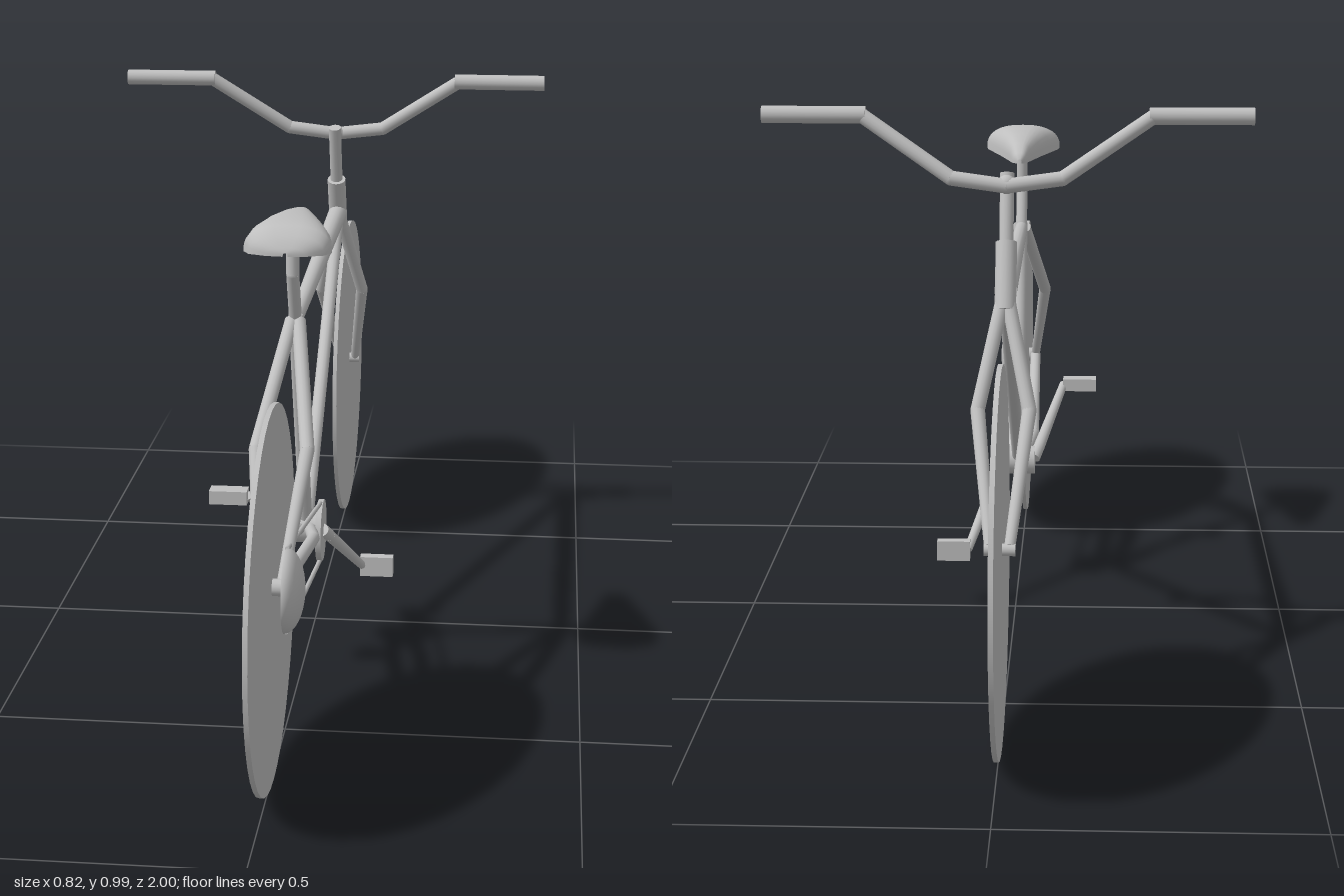
import * as THREE from 'three';

export function createModel() {
  const bike = new THREE.Group();
  bike.name = 'bicycle';
  const grey = new THREE.MeshStandardMaterial({ color: 0xbfbfbf, side: THREE.DoubleSide });
  grey.name = 'plain grey';
  const V = (p) => new THREE.Vector3(...p);
  const UP = new THREE.Vector3(0, 1, 0);

  function add(name, geometry, position = [0, 0, 0], parent = bike) {
    const mesh = new THREE.Mesh(geometry, grey);
    mesh.name = name;
    mesh.position.set(...position);
    parent.add(mesh);
    return mesh;
  }

  // Bent tube: tapered cylinders between points, balls at the inner joints
  function tube(name, points, radii, sides = 14) {
    const group = new THREE.Group();
    group.name = name;
    const r = (i) => (Array.isArray(radii) ? radii[i] : radii);
    for (let i = 0; i < points.length - 1; i++) {
      const a = V(points[i]), b = V(points[i + 1]);
      const dir = b.clone().sub(a);
      const mid = a.clone().add(b).multiplyScalar(0.5);
      const part = add(name + 'Section', new THREE.CylinderGeometry(r(i + 1), r(i), dir.length(), sides), mid.toArray(), group);
      part.quaternion.setFromUnitVectors(UP, dir.normalize());
      if (i > 0) add(name + 'Joint', new THREE.SphereGeometry(r(i), sides, 8), points[i], group);
    }
    bike.add(group);
  }

  // Disc or axle lying across the bike
  const across = (name, radius, width, position, sides = 24) =>
    add(name, new THREE.CylinderGeometry(radius, radius, width, sides).rotateZ(Math.PI / 2), position);

  // Wheels
  across('rearWheel', 0.3125, 0.008, [0, 0.3125, 0.6875], 44);
  across('frontWheel', 0.3125, 0.008, [0, 0.3125, -0.6875], 44);

  // Main frame
  tube('topTube', [[0, 0.676, 0.325], [0, 0.7, -0.445]], [0.012, 0.019]);
  tube('downTube', [[0, 0.245, 0.163], [0, 0.69, -0.445]], 0.012);
  tube('seatTube', [[0, 0.245, 0.163], [0, 0.685, 0.327]], 0.012);
  tube('seatPost', [[0, 0.67, 0.322], [0, 0.765, 0.365], [0, 0.855, 0.365]], 0.011);
  tube('headTube', [[0, 0.775, -0.41], [0, 0.67, -0.458]], 0.018);
  tube('stem', [[0, 0.885, -0.373], [0, 0.76, -0.417]], 0.012);
  across('bottomBracket', 0.027, 0.064, [0, 0.244, 0.163], 16);

  // Paired fork blades, stays, handlebar sides and grips
  for (const s of [1, -1]) {
    const side = s > 0 ? 'left' : 'right';
    tube(side + 'ForkBlade', [[s * 0.006, 0.68, -0.455], [s * 0.042, 0.52, -0.533], [s * 0.016, 0.335, -0.68]], [0.012, 0.012, 0.009]);
    tube(side + 'SeatStay', [[s * 0.006, 0.676, 0.328], [s * 0.042, 0.512, 0.533], [s * 0.018, 0.335, 0.69]], [0.012, 0.012, 0.009]);
    tube(side + 'ChainStay', [[s * 0.018, 0.335, 0.69], [s * 0.026, 0.267, 0.28], [s * 0.008, 0.246, 0.17]], 0.011);
    tube(side + 'Handlebar', [[0, 0.868, -0.405], [s * 0.092, 0.88, -0.4], [s * 0.24, 0.978, -0.368], [s * 0.26, 0.98, -0.366]], 0.0125);
    tube(side + 'Grip', [[s * 0.235, 0.98, -0.367], [s * 0.408, 0.98, -0.366]], 0.0145);
  }
  add('handlebarClamp', new THREE.SphereGeometry(0.016, 14, 10), [0, 0.87, -0.4]);

  // Axles and the domed rear hub cover
  across('frontAxle', 0.01, 0.05, [0, 0.33, -0.682], 14);
  across('rearAxle', 0.014, 0.05, [0, 0.335, 0.695], 14);
  const dome = new THREE.SphereGeometry(0.068, 28, 10, 0, Math.PI * 2, 0, Math.PI / 2);
  dome.scale(1, 0.46, 1).rotateZ(-Math.PI / 2);
  add('rearHubCover', dome, [0.025, 0.332, 0.7]);

  // Chainring and the two chain runs
  across('chainring', 0.056, 0.01, [0.027, 0.24, 0.163]);
  tube('upperChain', [[0.027, 0.398, 0.688], [0.027, 0.294, 0.17]], 0.004, 6);
  tube('lowerChain', [[0.027, 0.266, 0.71], [0.027, 0.186, 0.17]], 0.004, 6);

  // Cranks and pedals
  tube('leftCrank', [[0.03, 0.24, 0.163], [0.04, 0.222, 0.14], [0.09, 0.112, 0]], [0.012, 0.011, 0.008]);
  tube('rightCrank', [[-0.03, 0.248, 0.163], [-0.04, 0.266, 0.185], [-0.085, 0.358, 0.325]], [0.012, 0.011, 0.008]);
  add('leftPedal', new THREE.BoxGeometry(0.062, 0.038, 0.02), [0.117, 0.112, -0.003]);
  add('rightPedal', new THREE.BoxGeometry(0.066, 0.024, 0.032), [-0.117, 0.358, 0.328]);

  // Saddle shell: arched cross-sections from nose to tail [z, half width, height]
  const sections = [
    [0.203, 0.004, 0.008], [0.21, 0.013, 0.02], [0.24, 0.021, 0.034], [0.3, 0.037, 0.044], [0.36, 0.055, 0.05],
    [0.41, 0.07, 0.049], [0.438, 0.073, 0.044], [0.458, 0.062, 0.032], [0.47, 0.032, 0.014], [0.473, 0.004, 0.006],
  ];
  const steps = 16, positions = [], index = [];
  sections.forEach(([z, w, h], i) => {
    for (let j = 0; j <= steps; j++) {
      const a = (j / steps) * Math.PI, c = Math.cos(a);
      positions.push(Math.sign(c) * Math.abs(c) ** 0.75 * w, 0.82 + Math.sin(a) ** 0.75 * h, z);
      if (i && j < steps) {
        const p = (i - 1) * (steps + 1) + j, q = p + steps + 1;
        index.push(p, p + 1, q, q, p + 1, q + 1);
      }
    }
  });
  const shell = new THREE.BufferGeometry();
  shell.setAttribute('position', new THREE.Float32BufferAttribute(positions, 3));
  // Flip the winding so the outside faces outward
  for (let i = 0; i < index.length; i += 3) [index[i + 1], index[i + 2]] = [index[i + 2], index[i + 1]];
  shell.setIndex(index);
  shell.computeVertexNormals();
  add('saddle', shell);

  return bike;
}
